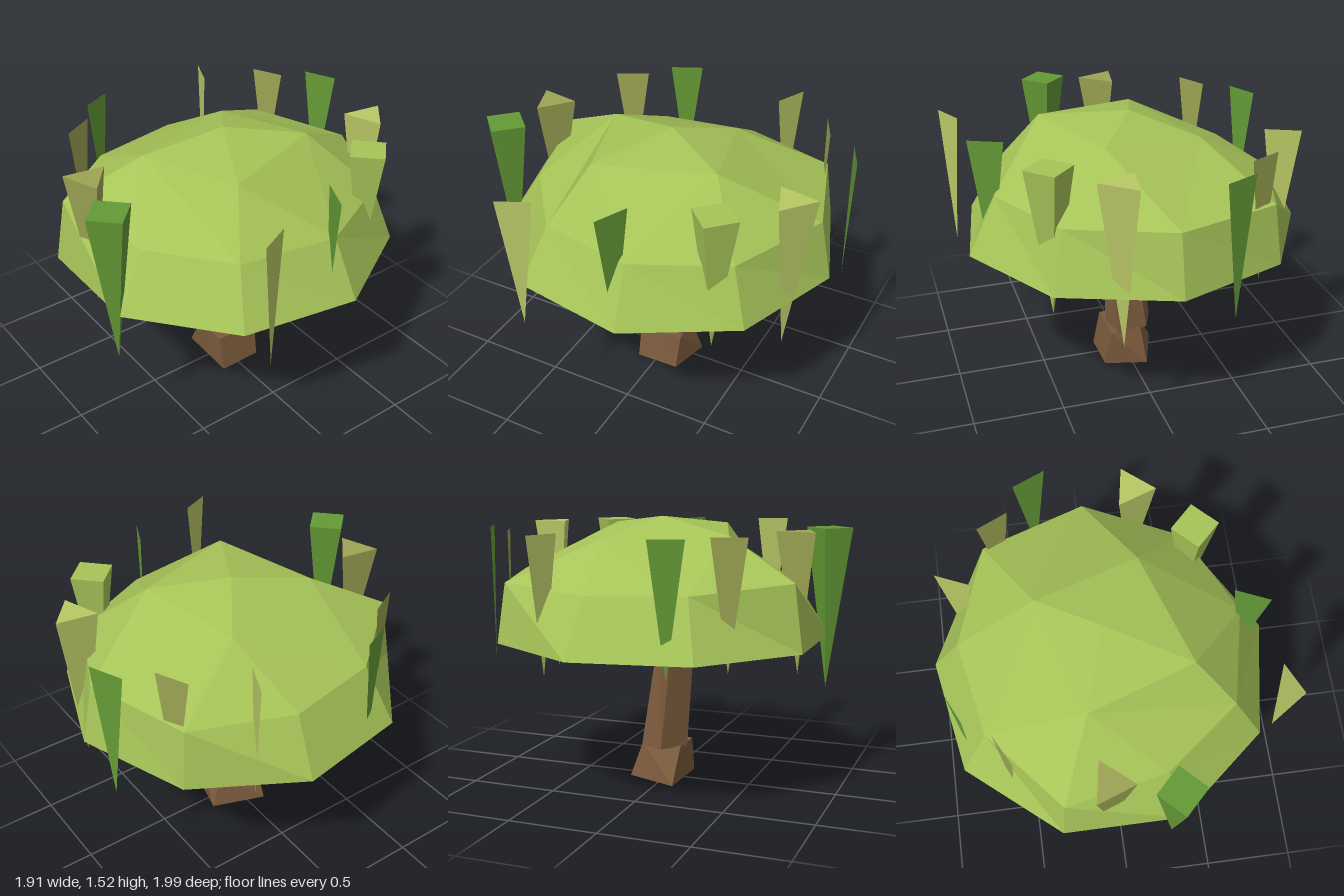
import * as THREE from 'three';

const mat = (color) => new THREE.MeshStandardMaterial({ color, flatShading: true, side: THREE.DoubleSide });
const bark = mat(0x7a5a3c), leaf = mat(0xa6c458), green = mat(0x649a36), olive = mat(0x9ca453), lime = mat(0xb9c865);

// Faceted mesh from a list of corner triples
function facets(name, triangles, material) {
  const g = new THREE.BufferGeometry();
  g.setAttribute('position', new THREE.Float32BufferAttribute(triangles.flat(2), 3));
  g.computeVertexNormals();
  const m = new THREE.Mesh(g, material);
  m.name = name;
  return m;
}

// Band of triangles between two rings (counterclockwise from above)
function band(low, high) {
  const n = low.length, out = [];
  for (let i = 0; i < n; i++) {
    const j = (i + 1) % n;
    out.push([low[i], low[j], high[i]], [low[j], high[j], high[i]]);
  }
  return out;
}

const cap = (r) => r.slice(2).map((p, i) => [r[0], r[i + 1], p]);
const level = (y, pts) => pts.map(([x, z]) => [x, y, z]);

// Closed solid between two rings
function loft(name, low, high, material) {
  return facets(name, [...band(low, high), ...cap(high), ...cap([...low].reverse())], material);
}

// Open dome: nine-sided rim, uneven middle ring, four-sided crown
function canopy() {
  const rim = Array.from({ length: 9 }, (_, i) => {
    const a = (i * 2 * Math.PI) / 9;
    return [-0.02 - 0.95 * Math.sin(a), 0.85, -0.02 - 0.95 * Math.cos(a)];
  });
  const mid = [
    [-0.02, 1.19, -0.9], [-0.6, 1.18, -0.71], [-0.79, 1.16, -0.16], [-0.69, 1.17, 0.37], [-0.32, 1.21, 0.82],
    [0.24, 1.155, 0.69], [0.65, 1.16, 0.37], [0.76, 1.17, -0.16], [0.52, 1.17, -0.65],
  ];
  const crown = [[-0.35, 1.41, -0.25], [-0.15, 1.43, 0.41], [0.43, 1.46, 0.22], [0.22, 1.465, -0.4]];
  const apex = [-0.02, 1.52, -0.02];
  const tris = band(rim, mid);
  // Crown corner that each middle edge leans on
  [0, 0, 0, 1, 1, 1, 2, 3, 3].forEach((c, i) => tris.push([mid[i], mid[(i + 1) % 9], crown[c]]));
  // Middle corner that each crown edge leans on
  [3, 6, 7, 0].forEach((m, c) => {
    const next = crown[(c + 1) % 4];
    tris.push([crown[c], mid[m], next], [crown[c], next, apex]);
  });
  return facets('canopy', tris, leaf);
}

const TOP = 1.46;

// Solid hanging frond: inverted pyramid
function solidFrond(x, z, tip, sides, turn, material) {
  const h = TOP - tip;
  const m = new THREE.Mesh(new THREE.CylinderGeometry(0.13, 0, h, sides, 1, false, turn), material);
  m.position.set(x, tip + h / 2, z);
  m.name = 'solidFrond';
  return m;
}

// Flat hanging frond: one upright triangle
function flatFrond(x, z, tip, dx, dz, material) {
  return facets('flatFrond', [[[x - dx, TOP, z - dz], [x, tip, z], [x + dx, TOP, z + dz]]], material);
}

export function createModel() {
  const tree = new THREE.Group();
  tree.name = 'tree';

  // Flared foot and leaning trunk
  tree.add(loft('trunkFoot',
    level(0, [[-0.19, 0.1], [0.165, 0.11], [0.16, -0.14], [-0.08, -0.2]]),
    level(0.205, [[-0.08, 0.11], [0.125, 0.11], [0.12, -0.15], [-0.06, -0.13]]), bark));
  tree.add(loft('trunk',
    level(0.2, [[-0.02, 0.13], [0.115, 0.01], [0.08, -0.15], [-0.1, -0.12], [-0.16, 0.02]]),
    level(0.88, [[0.02, 0.16], [0.11, 0.06], [0.1, -0.03], [-0.02, -0.04], [-0.1, 0.07]]), bark));

  tree.add(canopy());

  // Fronds around the canopy
  const fronds = new THREE.Group();
  fronds.name = 'fronds';
  const turn3 = (80 * Math.PI) / 180;
  fronds.add(
    solidFrond(0.26, 0.87, 0.55, 4, 0, green),
    solidFrond(0.55, -0.55, 0.64, 4, 0, leaf),
    solidFrond(-0.08, 0.785, 0.69, 3, turn3, olive),
    solidFrond(0.25, -0.825, 0.55, 3, turn3, lime),
  );
  [
    [-0.815, 0.3, 0.76, 0.04, 0.085, green],
    [-0.59, 0.55, 0.77, 0.045, 0.085, olive],
    [0.91, 0.37, 0.7, 0.04, 0.085, lime],
    [0.785, -0.11, 0.73, 0.09, 0.04, green],
    [-0.76, -0.4, 0.72, 0.09, 0.04, lime],
    [-0.3, -0.95, 0.69, 0.09, -0.04, green],
    [-0.52, -0.72, 0.77, 0.085, -0.04, olive],
  ].forEach((f) => fronds.add(flatFrond(...f)));
  tree.add(fronds);

  return tree;
}
